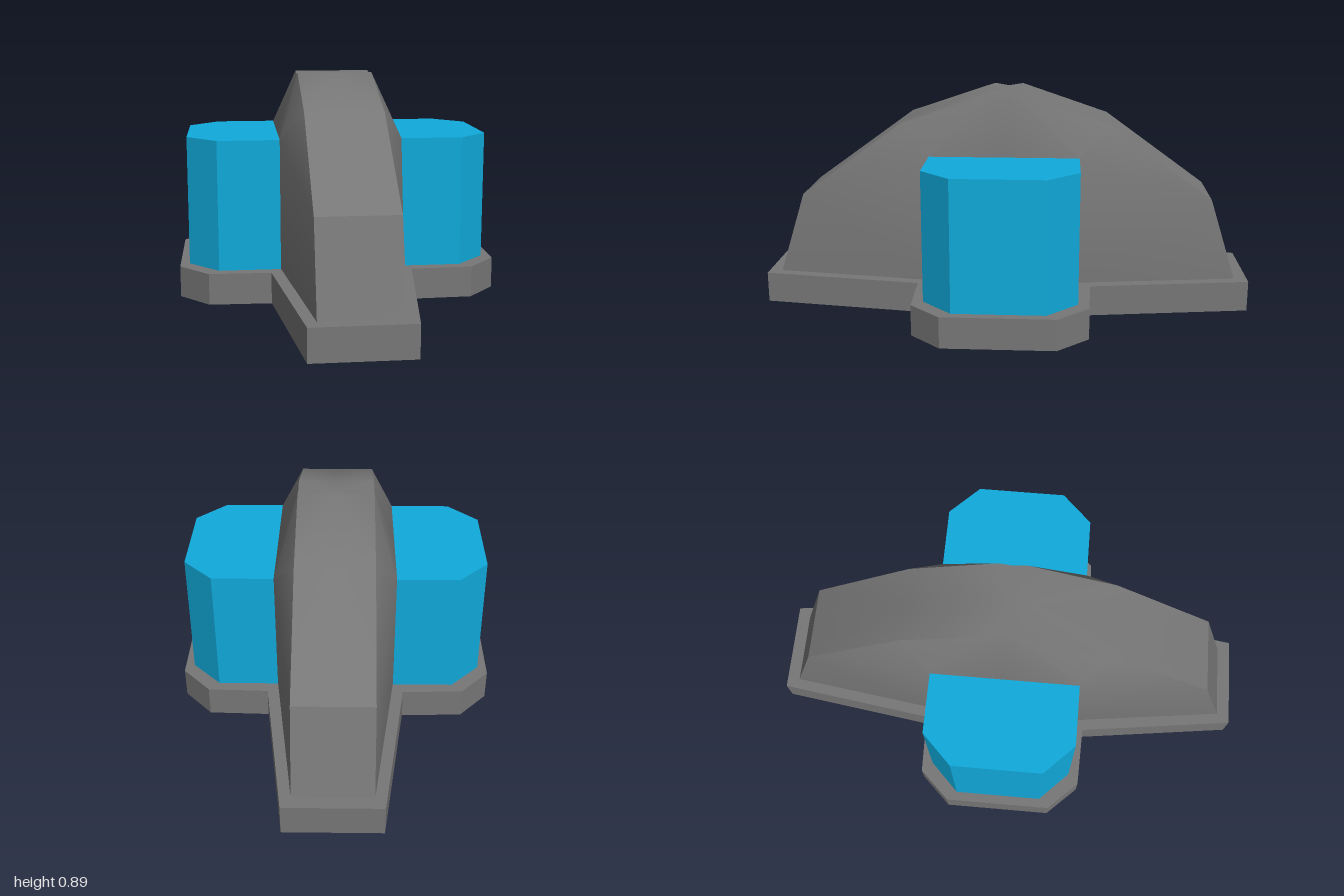
import * as THREE from 'three';
import { toCreasedNormals } from 'three/addons/utils/BufferGeometryUtils.js';

const BASE_TOP = 0.125;
const grey = new THREE.MeshStandardMaterial({ color: 0x777777, side: THREE.DoubleSide });
const blue = new THREE.MeshStandardMaterial({ color: 0x10aadb, flatShading: true });

function addMesh(group, name, geometry, material) {
  const mesh = new THREE.Mesh(geometry, material);
  mesh.name = name;
  group.add(mesh);
}

// Upright prism over an outline of [x, z] points
function prism(outline, y0, y1) {
  const shape = new THREE.Shape(outline.map(([x, z]) => new THREE.Vector2(x, -z)));
  const geo = new THREE.ExtrudeGeometry(shape, { depth: y1 - y0, bevelEnabled: false });
  return geo.rotateX(-Math.PI / 2).translate(0, y0, 0);
}

// Arched hull: one quarter (+x, +z) described by triangles, mirrored four ways
function hullGeometry() {
  const half = 0.153, wide = 0.24, low = BASE_TOP - 0.01;
  const rim = [[0.95, low], [0.84, 0.46], [0.42, 0.765], [0.06, 0.887], [0, 0.877]];
  const p = rim.map(([z, y]) => [half, y, z]);
  const mid = rim.map(([z, y]) => [0, y, z]);
  const foot = [wide, low, 0.3], shoulder = [wide, 0.645, 0.3];
  const footMid = [wide, low, 0], shoulderMid = [wide, 0.645, 0];

  const tris = [
    // flared side
    [foot, p[1], p[0]], [foot, shoulder, p[1]], [shoulder, p[2], p[1]],
    // sloping shoulder up to the rim
    [shoulder, p[3], p[2]], [shoulder, p[4], p[3]], [shoulder, shoulderMid, p[4]],
    // upright wall beside the block
    [foot, footMid, shoulderMid], [foot, shoulderMid, shoulder],
  ];
  // curved back strip
  for (let i = 0; i < 4; i++) {
    tris.push([p[i], p[i + 1], mid[i + 1]], [p[i], mid[i + 1], mid[i]]);
  }

  const pos = [];
  for (const sx of [1, -1]) for (const sz of [1, -1]) {
    for (const [a, b, c] of tris) {
      for (const [x, y, z] of sx * sz > 0 ? [a, b, c] : [a, c, b]) pos.push(x * sx, y, z * sz);
    }
  }
  const geo = new THREE.BufferGeometry();
  geo.setAttribute('position', new THREE.Float32BufferAttribute(pos, 3));
  return toCreasedNormals(geo, 0.5);
}

export function createModel() {
  const group = new THREE.Group();
  group.name = 'archedBlockModel';

  // Cross-shaped plinth
  const quarter = [[0.19, 1], [0.28, 0.35], [0.525, 0.343], [0.642, 0.22]];
  const back = [...quarter].reverse().map(([x, z]) => [x, -z]);
  const right = [...quarter, ...back];
  const left = [...right].reverse().map(([x, z]) => [-x, z]);
  addMesh(group, 'base', prism([...right, ...left], 0, BASE_TOP), grey);

  addMesh(group, 'archedHull', hullGeometry(), grey);

  // Chamfered block on each side
  const block = [[0.2, 0.3], [0.485, 0.3], [0.605, 0.18], [0.605, -0.18], [0.485, -0.3], [0.2, -0.3]];
  addMesh(group, 'leftBlock', prism(block, BASE_TOP, 0.645), blue);
  addMesh(group, 'rightBlock', prism(block.map(([x, z]) => [-x, z]), BASE_TOP, 0.645), blue);

  return group;
}
